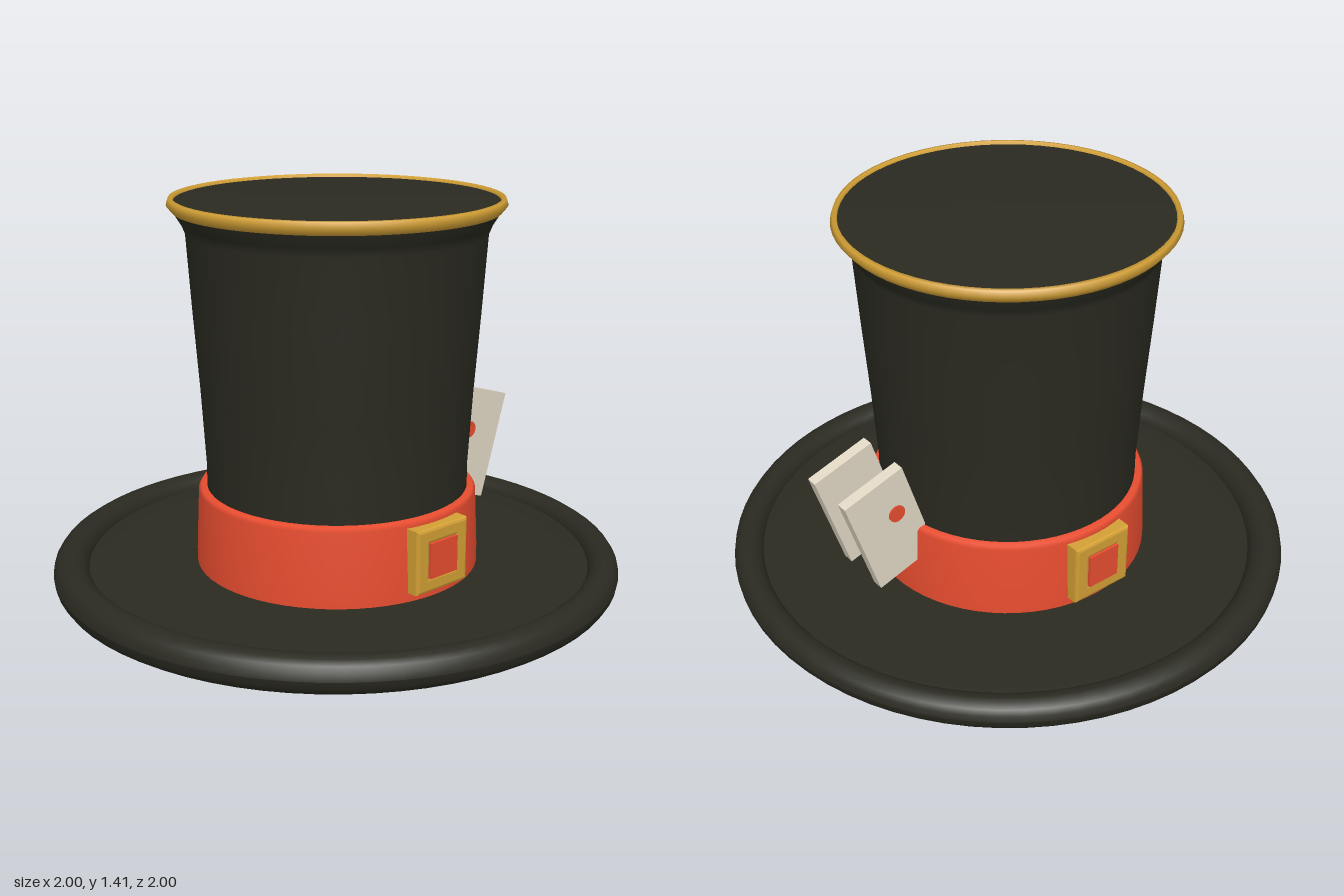
import * as THREE from 'three';

const mat = (name, color) => {
  const m = new THREE.MeshStandardMaterial({ color });
  m.name = name;
  return m;
};

export function createModel() {
  const felt = mat('dark felt', 0x2a2a21);
  const red = mat('red ribbon', 0xee4f31);
  const gold = mat('gold', 0xd3a035);
  const paper = mat('card paper', 0xe2d8c5);
  const hat = new THREE.Group();
  hat.name = 'topHat';

  const add = (parent, name, geometry, material, x = 0, y = 0, z = 0) => {
    const mesh = new THREE.Mesh(geometry, material);
    mesh.name = name;
    mesh.position.set(x, y, z);
    parent.add(mesh);
    return mesh;
  };
  const lathe = (points) =>
    new THREE.LatheGeometry(points.map(([r, y]) => new THREE.Vector2(r, y)), 64);
  const lean = 0.005; // the crown and its trimmings sit slightly forward

  // Brim: flat underside, bevelled edge and a level top sunk inside the roll
  add(hat, 'brim', lathe([[0, 0], [0.8, 0], [0.835, 0.003], [0.94, 0.065], [0.95, 0.11],
    [0.9, 0.121], [0.8, 0.123], [0.6, 0.123], [0.4, 0.123]]), felt);

  // Rolled brim edge, a little thicker on one side
  const roll = new THREE.TorusGeometry(1, 0.058, 16, 72).rotateX(Math.PI / 2);
  const p = roll.attributes.position;
  for (let i = 0; i < p.count; i++) {
    const x = p.getX(i), z = p.getZ(i), r = Math.hypot(x, z);
    const thick = 1 - 0.1 * (x / r);
    const radius = 1 - 0.058 * thick + (r - 1) * thick;
    p.setXYZ(i, (x / r) * radius, p.getY(i) * thick, (z / r) * radius);
  }
  roll.computeVertexNormals();
  add(hat, 'brimRoll', roll, felt, 0, 0.11, 0);

  // Crown: tapered wall flaring into the top
  add(hat, 'crown', lathe([[0.458, 0.11], [0.458, 0.48], [0.474, 0.75], [0.494, 1.02],
    [0.512, 1.29], [0.524, 1.32], [0.552, 1.365], [0.556, 1.398], [0, 1.398]]), felt, 0, 0, lean);

  // Gold trim around the top
  add(hat, 'crownTrim', lathe([[0.54, 1.363], [0.555, 1.365], [0.573, 1.387],
    [0.566, 1.408], [0.553, 1.41], [0.549, 1.396]]), gold, 0, 0, lean);

  // Ribbon band
  add(hat, 'band', lathe([[0.498, 0.11], [0.498, 0.17], [0.488, 0.385],
    [0.479, 0.398], [0.45, 0.4]]), red, 0, 0, lean);

  // Buckles on the front and back
  const square = (Type, w, h) => {
    const s = new Type();
    s.moveTo(-w, -h);
    s.lineTo(w, -h);
    s.lineTo(w, h);
    s.lineTo(-w, h);
    s.closePath();
    return s;
  };
  const frame = square(THREE.Shape, 0.106, 0.102);
  frame.holes.push(square(THREE.Path, 0.07, 0.07));
  const frameGeo = new THREE.ExtrudeGeometry(frame, {
    depth: 0.05, bevelEnabled: true, bevelSize: 0.01, bevelThickness: 0.01, bevelSegments: 2,
  });
  [['frontBuckle', 0], ['backBuckle', Math.PI]].forEach(([name, turn]) => {
    const buckle = new THREE.Group();
    buckle.name = name;
    buckle.position.z = lean;
    buckle.rotation.y = turn;
    add(buckle, 'buckleFrame', frameGeo, gold, 0, 0.267, 0.468);
    add(buckle, 'buckleCentre', new THREE.BoxGeometry(0.124, 0.124, 0.07), red, 0, 0.267, 0.5);
    hat.add(buckle);
  });

  // Two leaning cards tucked beside the band, each with a spot on its outer face
  [['frontCard', 1], ['backCard', -1]].forEach(([name, side]) => {
    const card = new THREE.Group();
    card.name = name;
    card.position.set(0.579, 0.445, side * 0.091 + lean);
    card.rotation.z = -0.305;
    add(card, 'cardSheet', new THREE.BoxGeometry(0.237, 0.4, 0.042), paper);
    const spot = new THREE.CylinderGeometry(0.031, 0.031, 0.008, 20).rotateX(Math.PI / 2);
    add(card, 'cardSpot', spot, red, -0.039, 0.044, side * 0.022);
    hat.add(card);
  });

  return hat;
}
